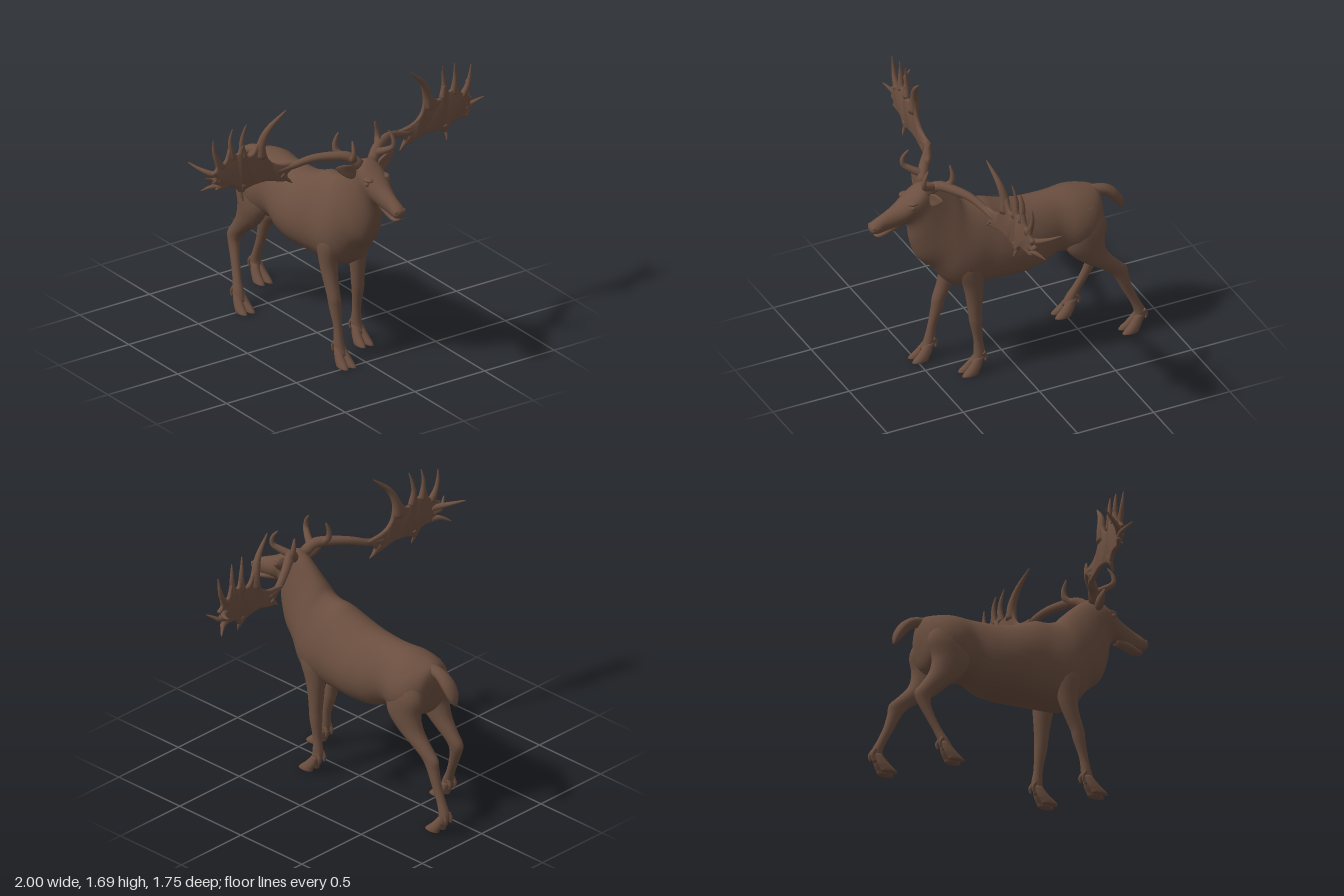
import * as THREE from 'three';
import { toCreasedNormals } from 'three/addons/utils/BufferGeometryUtils.js';

const V = (x, y, z) => new THREE.Vector3(x, y, z);
const spline = (pts) => new THREE.CatmullRomCurve3(pts, false, 'catmullrom', 0.5);

// Closed smooth skin: point(u, angle) gives the surface, both ends are capped
function skin(point, rows, cols) {
  const pos = [], idx = [];
  for (let i = 0; i <= rows; i++)
    for (let j = 0; j < cols; j++) pos.push(...point(i / rows, (j / cols) * Math.PI * 2).toArray());
  for (let i = 0; i < rows; i++)
    for (let j = 0; j < cols; j++) {
      const a = i * cols + j, b = i * cols + ((j + 1) % cols);
      idx.push(a, b, a + cols, b, b + cols, a + cols);
    }
  for (const end of [0, rows]) {
    const c = V(0, 0, 0), ci = pos.length / 3;
    for (let j = 0; j < cols; j++) c.add(V(0, 0, 0).fromArray(pos, (end * cols + j) * 3));
    pos.push(...c.divideScalar(cols).toArray());
    for (let j = 0; j < cols; j++) {
      const a = end * cols + j, b = end * cols + ((j + 1) % cols);
      idx.push(...(end ? [a, b, ci] : [b, a, ci]));
    }
  }
  // turn the faces outward when the enclosed volume is negative
  let volume = 0;
  const p = (n) => V(0, 0, 0).fromArray(pos, idx[n] * 3);
  for (let n = 0; n < idx.length; n += 3) volume += p(n).dot(p(n + 1).cross(p(n + 2)));
  if (volume < 0) idx.reverse();
  const geo = new THREE.BufferGeometry();
  geo.setAttribute('position', new THREE.Float32BufferAttribute(pos, 3));
  geo.setIndex(idx);
  geo.computeVertexNormals();
  return geo;
}

// Sections in the middle plane: [top z, top y, bottom z, bottom y, half width, narrowing at top]
function spine(rows, cols, steps = 4) {
  const top = spline(rows.map((r) => V(0, r[1], r[0])));
  const low = spline(rows.map((r) => V(0, r[3], r[2])));
  const wide = spline(rows.map((r) => V(r[4], r[5] || 0, 0)));
  return skin((u, t) => {
    const w = wide.getPoint(u);
    const q = low.getPoint(u).lerp(top.getPoint(u), 0.5 + Math.cos(t) / 2);
    q.x = w.x * Math.sin(t) * (1 - w.y * Math.cos(t));
    return q;
  }, (rows.length - 1) * steps, cols);
}

// Level rings for legs: [y, z, half depth, x, half width]
function limb(rows, cols = 16) {
  const mid = spline(rows.map((r) => V(r[3], r[0], r[1])));
  const rad = spline(rows.map((r) => V(r[4], 0, r[2])));
  return skin((u, t) => {
    const c = mid.getPoint(u), r = rad.getPoint(u);
    return c.add(V(Math.cos(t) * r.x, 0, Math.sin(t) * r.z));
  }, (rows.length - 1) * 4, cols);
}

// Round rod along a curve, tapering from r0 to r1
function rod(pts, r0, r1, power = 1) {
  const curve = spline(pts.map((p) => V(...p))), n = 16;
  const f = curve.computeFrenetFrames(n);
  return skin((u, t) => {
    const i = Math.round(u * n), r = r1 + (r0 - r1) * Math.pow(1 - u, power);
    return curve.getPointAt(u)
      .addScaledVector(f.normals[i], Math.cos(t) * r)
      .addScaledVector(f.binormals[i], Math.sin(t) * r);
  }, n, 10);
}

export function createModel() {
  const model = new THREE.Group();
  model.name = 'antleredDeer';
  const brown = new THREE.MeshStandardMaterial({ color: 0x6b4f40 });
  brown.name = 'brownHide';
  const add = (name, geo, parent = model) => {
    const mesh = new THREE.Mesh(geo, brown);
    mesh.name = name;
    parent.add(mesh);
    return mesh;
  };

  // Trunk, neck and head in one skin
  add('bodyNeckAndHead', spine([
    [-0.635, 0.93, -0.64, 0.84, 0.03, 0], [-0.61, 0.975, -0.6, 0.68, 0.125, 0.05],
    [-0.54, 1.0, -0.52, 0.63, 0.185, 0.08], [-0.44, 1.02, -0.42, 0.61, 0.195, 0.1],
    [-0.32, 1.02, -0.32, 0.62, 0.165, 0.1], [-0.2, 1.02, -0.2, 0.57, 0.187, 0.12],
    [-0.08, 1.03, -0.06, 0.56, 0.205, 0.13], [0.04, 1.07, 0.06, 0.56, 0.197, 0.15],
    [0.12, 1.105, 0.18, 0.56, 0.183, 0.18], [0.2, 1.11, 0.3, 0.565, 0.182, 0.2],
    [0.26, 1.13, 0.39, 0.62, 0.168, 0.18], [0.3, 1.17, 0.47, 0.73, 0.143, 0.12],
    [0.35, 1.22, 0.555, 0.81, 0.118, 0.05], [0.4, 1.265, 0.6, 0.93, 0.1, 0],
    [0.45, 1.3, 0.615, 1.03, 0.088, -0.05], [0.52, 1.32, 0.635, 1.075, 0.085, -0.15],
    [0.6, 1.275, 0.67, 1.075, 0.077, -0.2], [0.69, 1.215, 0.73, 1.065, 0.054, -0.15],
    [0.77, 1.175, 0.78, 1.058, 0.041, -0.1], [0.83, 1.145, 0.825, 1.06, 0.042, 0],
    [0.862, 1.12, 0.852, 1.068, 0.034, 0], [0.868, 1.1, 0.864, 1.082, 0.014, 0],
  ], 32));
  add('lowerJaw', spine([
    [0.66, 1.12, 0.66, 1.065, 0.03], [0.73, 1.1, 0.73, 1.045, 0.036],
    [0.79, 1.07, 0.79, 1.03, 0.032], [0.82, 1.058, 0.82, 1.032, 0.026], [0.835, 1.05, 0.835, 1.042, 0.01],
  ], 16));
  add('tail', spine([
    [-0.59, 0.985, -0.61, 0.92, 0.035], [-0.68, 0.965, -0.665, 0.9, 0.042],
    [-0.75, 0.915, -0.705, 0.865, 0.048], [-0.79, 0.845, -0.75, 0.81, 0.038],
    [-0.796, 0.78, -0.783, 0.775, 0.01],
  ], 16));

  // Legs in a walking pose
  const legs = {
    frontLeftLeg: [[0.88, 0.27, 0.05, 0.11, 0.03], [0.74, 0.27, 0.09, 0.115, 0.065], [0.6, 0.247, 0.063, 0.12, 0.055],
      [0.5, 0.24, 0.05, 0.122, 0.046], [0.4, 0.237, 0.041, 0.125, 0.04], [0.34, 0.233, 0.038, 0.128, 0.037],
      [0.22, 0.22, 0.028, 0.13, 0.026], [0.12, 0.213, 0.035, 0.133, 0.032], [0.06, 0.235, 0.034, 0.135, 0.034]],
    frontRightLeg: [[0.88, 0.29, 0.05, -0.11, 0.03], [0.74, 0.285, 0.09, -0.115, 0.065], [0.6, 0.288, 0.062, -0.12, 0.055],
      [0.5, 0.312, 0.05, -0.122, 0.046], [0.4, 0.35, 0.042, -0.125, 0.04], [0.34, 0.362, 0.037, -0.125, 0.037],
      [0.22, 0.393, 0.027, -0.127, 0.026], [0.12, 0.41, 0.034, -0.13, 0.032], [0.06, 0.435, 0.034, -0.13, 0.034]],
    hindLeftLeg: [[0.93, -0.49, 0.07, 0.1, 0.05], [0.8, -0.5, 0.125, 0.117, 0.075], [0.68, -0.485, 0.125, 0.125, 0.072],
      [0.58, -0.535, 0.1, 0.125, 0.06], [0.5, -0.625, 0.078, 0.125, 0.047], [0.44, -0.695, 0.064, 0.125, 0.038],
      [0.38, -0.724, 0.044, 0.127, 0.033], [0.28, -0.762, 0.033, 0.132, 0.027], [0.19, -0.805, 0.03, 0.138, 0.026],
      [0.12, -0.833, 0.035, 0.143, 0.032], [0.06, -0.82, 0.034, 0.147, 0.034]],
    hindRightLeg: [[0.93, -0.49, 0.07, -0.1, 0.05], [0.8, -0.5, 0.125, -0.117, 0.075], [0.68, -0.48, 0.12, -0.125, 0.072],
      [0.58, -0.52, 0.1, -0.125, 0.06], [0.5, -0.59, 0.078, -0.125, 0.047], [0.43, -0.655, 0.06, -0.128, 0.038],
      [0.37, -0.66, 0.042, -0.133, 0.033], [0.27, -0.622, 0.031, -0.15, 0.027], [0.18, -0.58, 0.029, -0.168, 0.026],
      [0.12, -0.552, 0.035, -0.18, 0.032], [0.06, -0.525, 0.034, -0.185, 0.034]],
  };
  for (const [name, rows] of Object.entries(legs)) {
    const leg = new THREE.Group();
    leg.name = name;
    model.add(leg);
    add('limb', limb(rows), leg);
    const [, z, , x] = rows[rows.length - 2];
    // Cloven hoof and dewclaws
    for (const s of [-1, 1]) {
      add('hoofToe', limb([
        [0.105, z + 0.003, 0.026, x + s * 0.014, 0.02], [0.05, z + 0.035, 0.04, x + s * 0.022, 0.025],
        [0.015, z + 0.064, 0.05, x + s * 0.027, 0.026], [0, z + 0.073, 0.053, x + s * 0.028, 0.025],
      ], 12), leg);
      add('dewclaw', rod([[x + s * 0.018, 0.13, z - 0.015], [x + s * 0.022, 0.1, z - 0.034],
        [x + s * 0.022, 0.07, z - 0.03]], 0.016, 0.006), leg);
    }
  }

  // Paired head parts: built on the left, mirrored to the right
  for (const side of [1, -1]) {
    const half = new THREE.Group();
    half.name = side > 0 ? 'leftHeadParts' : 'rightHeadParts';
    half.scale.x = side;
    model.add(half);

    // Cupped leaf-shaped ear
    const ear = skin((u, t) => {
      const w = 0.012 + 0.036 * Math.pow(Math.sin(Math.PI * Math.pow(u, 0.8)), 0.8) - 0.009 * u;
      const y = Math.cos(t) * w;
      return V(0.07 + 0.14 * u, 1.25 + 0.055 * u + y, 0.5 - 0.01 * u + Math.sin(t) * w * 0.45 + 9 * y * y);
    }, 14, 16);
    add('ear', ear, half);
    const eye = add('eye', new THREE.SphereGeometry(0.016, 16, 12), half);
    eye.position.set(0.073, 1.215, 0.615);
    const brow = add('brow', new THREE.SphereGeometry(0.03, 16, 12), half);
    brow.position.set(0.058, 1.237, 0.605);
    brow.scale.set(0.9, 0.5, 1.3);
    const nostril = add('nostril', new THREE.SphereGeometry(0.014, 12, 10), half);
    nostril.position.set(0.026, 1.11, 0.848);

    // Antler beam and its two lower tines
    const antler = new THREE.Group();
    antler.name = 'antler';
    half.add(antler);
    add('beam', rod([[0.045, 1.29, 0.5], [0.1, 1.345, 0.465], [0.18, 1.35, 0.41], [0.28, 1.335, 0.345],
      [0.38, 1.3, 0.3], [0.48, 1.285, 0.283]], 0.034, 0.018), antler);
    add('browTine', rod([[0.08, 1.33, 0.48], [0.115, 1.36, 0.54], [0.14, 1.39, 0.578],
      [0.142, 1.44, 0.575], [0.13, 1.485, 0.545]], 0.026, 0.004, 0.7), antler);
    add('secondTine', rod([[0.13, 1.345, 0.44], [0.15, 1.38, 0.405], [0.15, 1.43, 0.397],
      [0.132, 1.49, 0.405]], 0.025, 0.004, 0.7), antler);

    // Broad palm with scalloped edge, leaning back outward
    const outline = [[0.36, 1.315], [0.48, 1.33], [0.545, 1.375], [0.57, 1.45], [0.565, 1.52], [0.59, 1.54],
      [0.615, 1.5], [0.66, 1.44], [0.705, 1.445], [0.715, 1.51], [0.735, 1.51], [0.75, 1.465], [0.78, 1.47],
      [0.795, 1.52], [0.812, 1.52], [0.838, 1.44], [0.87, 1.43], [0.9, 1.48], [0.912, 1.46], [0.9, 1.4],
      [0.93, 1.375], [0.91, 1.345], [0.93, 1.315], [0.89, 1.295], [0.9, 1.265], [0.79, 1.262], [0.745, 1.215],
      [0.725, 1.21], [0.68, 1.235], [0.57, 1.245], [0.48, 1.222], [0.425, 1.215], [0.42, 1.255], [0.375, 1.29]];
    const shape = new THREE.Shape().setFromPoints(
      new THREE.SplineCurve(outline.map((p) => new THREE.Vector2(...p))).getPoints(130));
    const palm = new THREE.ExtrudeGeometry(shape, {
      depth: 0.008, bevelThickness: 0.01, bevelSize: 0.012, bevelOffset: -0.01, bevelSegments: 3,
    });
    const lean = (x) => 0.29 - 0.07 * (x - 0.4);
    const p = palm.attributes.position;
    for (let i = 0; i < p.count; i++) p.setZ(i, p.getZ(i) - 0.004 + lean(p.getX(i)));
    add('palm', toCreasedNormals(palm, 1), antler);

    // Tines around the palm: root radius, then points [x, y, offset in z]
    const tines = [
      [0.034, [0.6, 1.4, 0], [0.592, 1.49, 0], [0.55, 1.585, 0.015], [0.447, 1.685, 0.035]],
      [0.022, [0.71, 1.43, 0], [0.726, 1.51, -0.004], [0.718, 1.58, 0], [0.703, 1.645, 0.012]],
      [0.022, [0.79, 1.44, 0], [0.804, 1.51, 0], [0.806, 1.57, 0], [0.797, 1.635, 0.01]],
      [0.022, [0.86, 1.4, 0], [0.9, 1.46, 0], [0.918, 1.52, 0], [0.925, 1.592, 0.005]],
      [0.022, [0.87, 1.35, 0], [0.92, 1.362, -0.035], [0.965, 1.385, -0.09], [0.998, 1.412, -0.145]],
      [0.02, [0.88, 1.32, 0], [0.93, 1.328, -0.01], [0.965, 1.35, 0.01], [0.999, 1.372, 0.035]],
      [0.02, [0.87, 1.28, 0], [0.91, 1.28, -0.02], [0.94, 1.268, -0.04], [0.967, 1.25, -0.06]],
      [0.02, [0.72, 1.26, 0], [0.735, 1.215, 0], [0.735, 1.19, 0.01], [0.73, 1.16, 0.02]],
      [0.022, [0.46, 1.26, 0], [0.43, 1.23, 0], [0.41, 1.21, 0], [0.387, 1.19, 0.005]],
    ];
    for (const [r, ...pts] of tines)
      add('tine', rod(pts.map(([x, y, dz]) => [x, y, lean(x) + dz]), r, 0.003, 0.8), antler);
  }
  return model;
}
